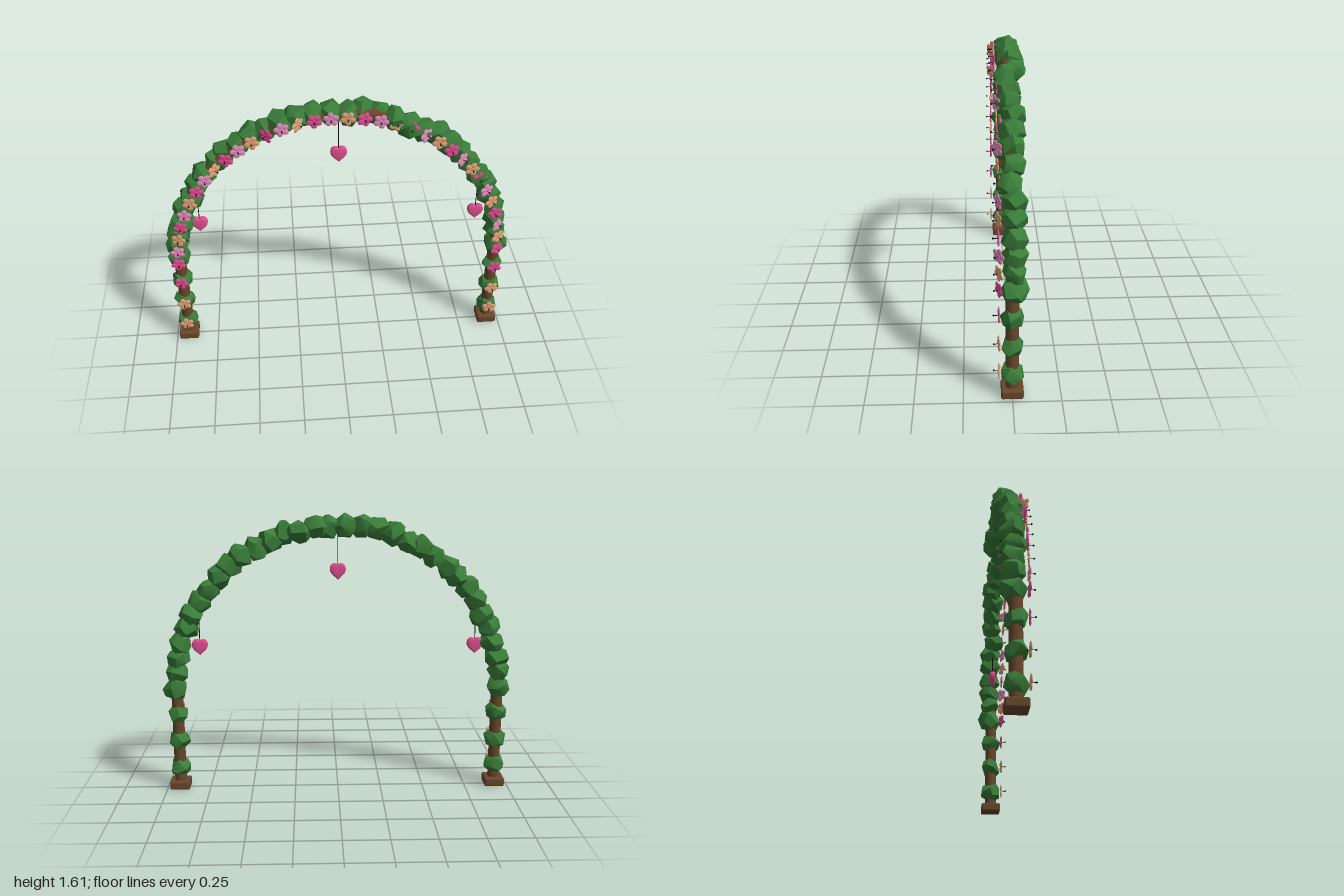
import * as THREE from 'three';
import { toCreasedNormals } from 'three/addons/utils/BufferGeometryUtils.js';
import { RoundedBoxGeometry } from 'three/addons/geometries/RoundedBoxGeometry.js';
import { ConvexGeometry } from 'three/addons/geometries/ConvexGeometry.js';

const mat = (name, color) =>
  Object.assign(new THREE.MeshStandardMaterial({ color }), { name });

export function createModel() {
  const model = new THREE.Group();
  model.name = 'flowerArch';

  const wood = mat('wood', 0x67472b);
  const leaf = mat('leafGreen', 0x3a7d3a);
  const pink = mat('deepPink', 0xe44c92);
  const lightPink = mat('lightPink', 0xe68cbe);
  const peach = mat('peach', 0xe6a27a);
  const heartPink = mat('heartPink', 0xde508c);
  const dark = mat('darkStamen', 0x140e10);

  let seed = 11;
  const rand = (a, b) => {
    seed = (seed * 16807) % 2147483647;
    return a + (b - a) * (seed / 2147483647);
  };

  const add = (name, geometry, material, x = 0, y = 0, z = 0, parent = model) => {
    const mesh = new THREE.Mesh(geometry, material);
    mesh.name = name;
    mesh.position.set(x, y, z);
    parent.add(mesh);
    return mesh;
  };

  // Wooden frame: feet, posts and a half-circle hoop
  const R = 0.925, SPRING = 0.61;
  const footGeo = new RoundedBoxGeometry(0.115, 0.05, 0.115, 2, 0.01);
  const postGeo = new THREE.CylinderGeometry(0.034, 0.034, 0.6, 16);
  for (const side of [-1, 1]) {
    add('foot', footGeo, wood, side * R, 0.025, 0);
    add('post', postGeo, wood, side * R, 0.32, 0);
  }
  add('hoop', new THREE.TorusGeometry(R, 0.034, 10, 48, Math.PI), wood, 0, SPRING, 0);

  // Leaf clumps: irregular convex lumps with a few hard edges
  const makeClumpGeometry = () => {
    const points = [];
    const count = 15;
    for (let k = 0; k < count; k++) {
      const h = 1 - (2 * k + 1) / count;
      const a = k * 2.4 + rand(-0.35, 0.35);
      const r = Math.sqrt(1 - h * h);
      points.push(new THREE.Vector3(Math.cos(a) * r, h, Math.sin(a) * r).multiplyScalar(0.072));
    }
    return toCreasedNormals(new ConvexGeometry(points), 0.65);
  };
  const clumpGeos = Array.from({ length: 6 }, makeClumpGeometry);
  let clumpIndex = 0;
  const addClump = (x, y, z, size) => {
    const clump = add('leafClump', clumpGeos[clumpIndex++ % clumpGeos.length], leaf, x, y, z);
    clump.rotation.set(rand(0, 3), rand(0, 3), rand(0, 3));
    clump.scale.set(size * rand(0.94, 1.06), size * rand(0.84, 1), size * rand(0.94, 1.06));
  };

  // Flowers: five flattened round petals and a stamen with a small tip
  const petalGeo = new THREE.SphereGeometry(0.0165, 14, 8);
  const hubGeo = new THREE.SphereGeometry(0.012, 10, 6);
  const stalkGeo = new THREE.CylinderGeometry(0.0015, 0.0015, 0.03, 5).rotateX(Math.PI / 2);
  const tipGeo = new THREE.SphereGeometry(0.005, 8, 6);
  const addFlower = (x, y, z, color, tilt, spin) => {
    const flower = new THREE.Group();
    flower.name = 'flower';
    flower.position.set(x, y, z);
    flower.rotation.set(0, tilt, spin);
    for (let k = 0; k < 5; k++) {
      const a = Math.PI / 2 + (k * Math.PI * 2) / 5;
      const petal = add('petal', petalGeo, color, Math.cos(a) * 0.024, Math.sin(a) * 0.024, 0, flower);
      petal.rotation.z = a;
      petal.scale.set(1.15, 1, 0.32);
    }
    add('flowerHub', hubGeo, color, 0, 0, 0.001, flower).scale.z = 0.35;
    add('stamen', stalkGeo, dark, 0, 0, 0.012, flower);
    add('stamenTip', tipGeo, dark, 0, 0, 0.026, flower);
    model.add(flower);
  };

  // Growth on the posts
  const postRows = [[0.14, peach], [0.3, peach], [0.465, pink]];
  for (const side of [-1, 1]) {
    for (const [y, color] of postRows) {
      addClump(side * R, y - 0.012, 0, 0.93);
      addFlower(side * R, y, 0.067, color, rand(-0.1, 0.1), rand(0, 1));
    }
  }

  // Growth along the hoop, colours repeating in threes
  const COUNT = 34;
  const cycle = [pink, lightPink, peach];
  const tilted = { 8: 0.8, 12: -0.6, 14: 0.8, 22: 0.6, 25: 0.7, 28: 0.4, 29: 0.4, 31: 0.7, 32: 0.45, 33: 0.4 };
  const sunken = [20, 21, 27];
  const clumpShift = { 8: -0.025, 9: -0.03, 18: -0.03, 19: -0.035, 20: 0.012, 21: 0.012, 22: 0.002, 27: 0.01 };
  for (let i = 0; i < COUNT; i++) {
    const a = Math.PI * (1 - i / (COUNT - 1));
    const x = Math.cos(a) * R, y = SPRING + Math.sin(a) * R;
    addClump(x + rand(-0.008, 0.008), y + rand(-0.01, 0.01),
      clumpShift[i] ?? rand(-0.02, -0.004), rand(0.98, 1.09));
    addFlower(x, y, sunken.includes(i) ? 0.058 : 0.067, cycle[i % 3],
      tilted[i] ?? rand(-0.15, 0.15), rand(0, 1.2));
  }

  // Hanging hearts on strings
  const shape = new THREE.Shape();
  shape.moveTo(0, -0.036);
  shape.bezierCurveTo(-0.012, -0.022, -0.036, -0.012, -0.036, 0.012);
  shape.bezierCurveTo(-0.036, 0.039, -0.006, 0.041, 0, 0.018);
  shape.bezierCurveTo(0.006, 0.041, 0.036, 0.039, 0.036, 0.012);
  shape.bezierCurveTo(0.036, -0.012, 0.012, -0.022, 0, -0.036);
  const heartGeo = toCreasedNormals(new THREE.ExtrudeGeometry(shape, {
    depth: 0.012, bevelEnabled: true, bevelThickness: 0.01, bevelSize: 0.009,
    bevelSegments: 3, curveSegments: 8,
  }).translate(0, 0, -0.006), 0.7);
  for (const [x, y, top] of [[0, 1.28, 1.52], [-0.785, 0.85, 1.09], [0.785, 0.85, 1.09]]) {
    add('heart', heartGeo, heartPink, x, y, 0);
    const length = top - y - 0.018;
    add('heartString', new THREE.CylinderGeometry(0.0025, 0.0025, length, 6), dark, x, top - length / 2, 0);
  }

  return model;
}
